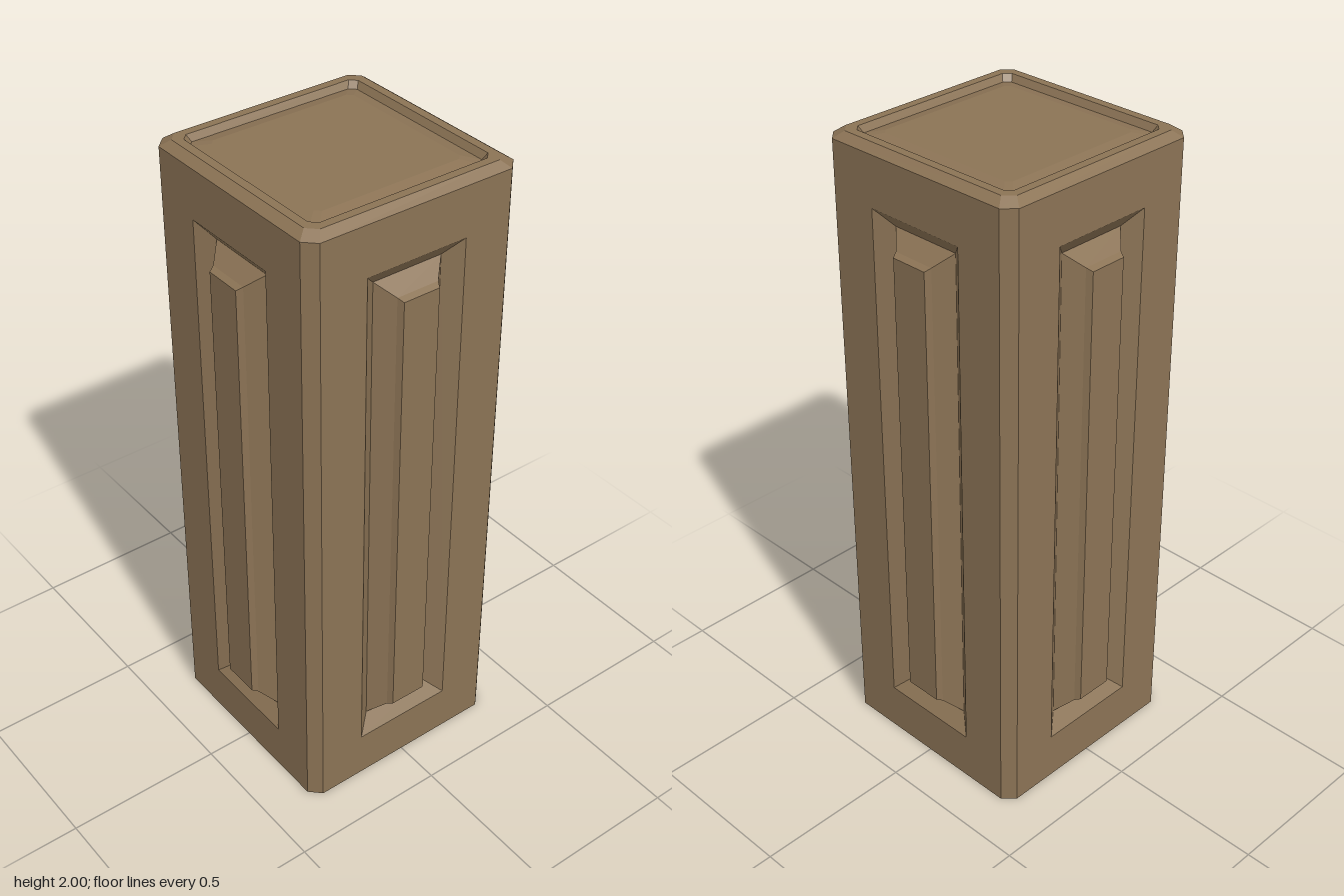
import * as THREE from 'three';

const HALF = 0.35;      // half width of the post
const CHAMFER = 0.035;  // cut on the vertical corners
const SHOULDER = 1.98;  // where the cap bevel begins
const MID = 0.99;       // centre height of the side panels

// Counter-clockwise rectangle outline
const rect = (w, h, z) => [[w, -h, z], [w, h, z], [-w, h, z], [-w, -h, z]];

// Counter-clockwise square outline with cut corners
const octagon = (r, c, z) => [
  [r, c - r, z], [r, r - c, z], [r - c, r, z], [c - r, r, z],
  [-r, r - c, z], [-r, c - r, z], [c - r, -r, z], [r - c, -r, z],
];

// Skin a series of loops from the outside in and close the last one
function loft(loops) {
  const pos = [];
  const tri = (a, b, c) => pos.push(...a, ...b, ...c);
  for (let k = 0; k < loops.length - 1; k++) {
    const a = loops[k], b = loops[k + 1];
    a.forEach((p, i) => {
      const j = (i + 1) % a.length;
      tri(p, a[j], b[j]);
      tri(p, b[j], b[i]);
    });
  }
  const end = loops[loops.length - 1];
  for (let i = 1; i < end.length - 1; i++) tri(end[0], end[i], end[i + 1]);
  const geo = new THREE.BufferGeometry();
  geo.setAttribute('position', new THREE.Float32BufferAttribute(pos, 3));
  geo.computeVertexNormals();
  return geo;
}

export function createModel() {
  const group = new THREE.Group();
  const wood = new THREE.MeshStandardMaterial({ color: 0x8b7355, flatShading: true });
  const add = (name, geo, parent) => {
    const mesh = new THREE.Mesh(geo, wood);
    mesh.name = name;
    parent.add(mesh);
    return mesh;
  };

  // Flat face with a rectangular opening for the panel
  const w = HALF - CHAMFER;
  const toPoints = (loop) => loop.map(([x, y]) => new THREE.Vector2(x, y + MID));
  const face = new THREE.Shape(toPoints(rect(w, SHOULDER / 2, 0)));
  face.holes.push(new THREE.Path(toPoints(rect(0.165, 0.835, 0)).reverse()));
  const faceGeo = new THREE.ShapeGeometry(face).translate(0, 0, HALF);

  // Sunken moulding with a raised centre field
  const panelGeo = loft([
    rect(0.165, 0.835, HALF),
    rect(0.115, 0.785, 0.31),
    rect(0.069, 0.742, 0.355),
    rect(0.06, 0.733, 0.373),
  ]).translate(0, MID, 0);

  // Chamfered corner strip
  const cornerGeo = new THREE.PlaneGeometry(CHAMFER * Math.SQRT2, SHOULDER)
    .translate(0, SHOULDER / 2, (HALF - CHAMFER / 2) * Math.SQRT2)
    .rotateY(Math.PI / 4);

  ['front', 'left', 'back', 'right'].forEach((name, i) => {
    const side = new THREE.Group();
    side.name = name + 'Side';
    side.rotation.y = i * Math.PI / 2;
    add('sideFace', faceGeo, side);
    add('raisedPanel', panelGeo, side);
    add('cornerChamfer', cornerGeo, side);
    group.add(side);
  });

  // Cap: bevelled rim, shallow groove and gently raised centre
  const cap = loft([
    octagon(HALF, CHAMFER, SHOULDER),
    octagon(0.322, 0.028, 2),
    octagon(0.295, 0.02, 2),
    octagon(0.283, 0.018, 1.98),
    octagon(0.24, 0.015, 1.99),
  ]).rotateX(-Math.PI / 2);
  add('cap', cap, group);

  // Underside
  add('base', loft([octagon(HALF, CHAMFER, 0)]).rotateX(Math.PI / 2), group);

  return group;
}
